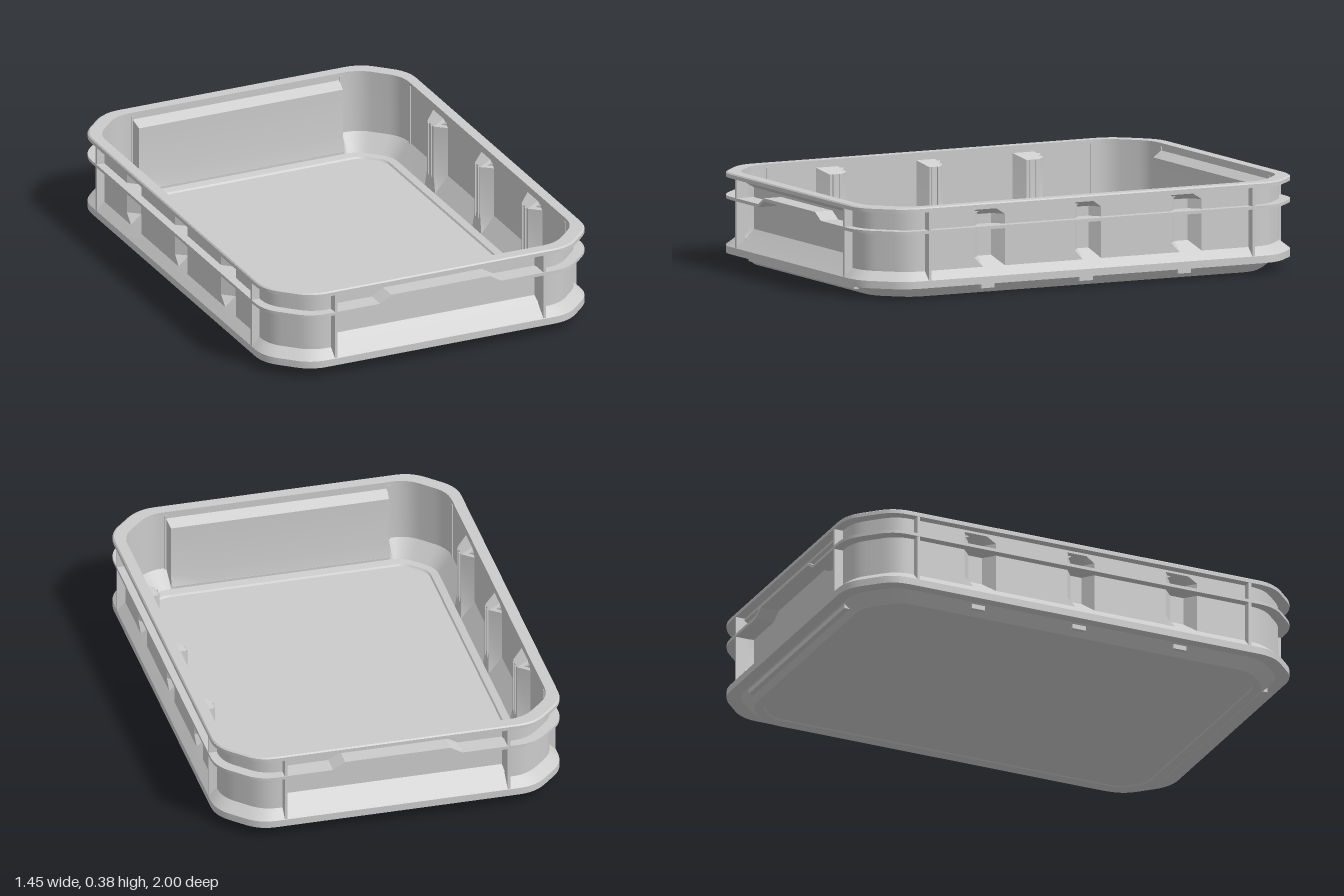
import * as THREE from 'three';
import { toCreasedNormals } from 'three/addons/utils/BufferGeometryUtils.js';

const material = new THREE.MeshStandardMaterial({ color: 0xcccccc, side: THREE.DoubleSide });

// Plan points along a side wall and an end wall; the true entries lie in a recess.
const SIDE = [[0.025, true], [0.06, false], [0.38, false], [0.42, true], [0.48, true], [0.52, false]];
const END = [[0.465, false], [0.455, true], [0.27, true], [0.22, true]];

// Closed horizontal loop: a rectangle with softened chamfered corners,
// whose recessed stretches are pulled in to recX and recZ.
function loop(y, hx, hz, cut, recX = hx, recZ = hz) {
  const q = SIDE.map(([z, rec]) => [rec ? recX : hx, z]);
  const e = Math.min(0.075, cut * 0.45), d = e * Math.SQRT1_2;
  const bend = (a, b, c) => {
    for (let i = 0; i <= 6; i++) {
      const t = i / 6, s = 1 - t;
      q.push([0, 1].map(k => s * s * a[k] + 2 * s * t * b[k] + t * t * c[k]));
    }
  };
  bend([hx, hz - cut - e], [hx, hz - cut], [hx - d, hz - cut + d]);
  bend([hx - cut + d, hz - d], [hx - cut, hz], [hx - cut - e, hz]);
  END.forEach(([x, rec]) => q.push([x, rec ? recZ : hz]));
  const flip = (sx, sz) => q.map(([x, z]) => [x * sx, z * sz]);
  return [...flip(1, 1), ...flip(-1, 1).reverse(), ...flip(-1, -1), ...flip(1, -1).reverse()]
    .map(([x, z]) => new THREE.Vector3(x, y, z));
}

// Skin a stack of loops; creases stay sharp.
function loft(name, loops) {
  const pos = [];
  const tri = (a, b, c) => {
    const area = b.clone().sub(a).cross(c.clone().sub(a)).length();
    if (area > 1e-9) [a, b, c].forEach(p => pos.push(p.x, p.y, p.z));
  };
  for (let i = 0; i < loops.length - 1; i++) {
    const lo = loops[i], hi = loops[i + 1], n = lo.length;
    for (let j = 0; j < n; j++) {
      const k = (j + 1) % n;
      tri(lo[j], hi[j], hi[k]);
      tri(lo[j], hi[k], lo[k]);
    }
  }
  const g = new THREE.BufferGeometry();
  g.setAttribute('position', new THREE.Float32BufferAttribute(pos, 3));
  const mesh = new THREE.Mesh(toCreasedNormals(g, 0.5), material);
  mesh.name = name;
  return mesh;
}

const edge = (y, inset = 0) => loop(y, 0.725 - inset, 1 - inset, 0.15);
const wall = y => loop(y, 0.69, 0.96, 0.14);
const wallRecessed = y => loop(y, 0.69, 0.96, 0.14, 0.645, 0.92);
const inner = y => loop(y, 0.677, 0.947, 0.137);
const innerRecessed = y => loop(y, 0.677, 0.947, 0.137, 0.631, 0.906);
const centre = y => edge(y).map(() => new THREE.Vector3(0, y, 0));

export function createModel() {
  const model = new THREE.Group();
  model.name = 'crate';

  // Tray shell: underside, outer wall, rim, inner wall, floor
  model.add(loft('trayShell', [
    centre(0.005),
    loop(0.005, 0.585, 0.855, 0.08),
    loop(0, 0.59, 0.86, 0.08),
    loop(0, 0.64, 0.9, 0.12),
    loop(0.045, 0.68, 0.95, 0.135),
    edge(0.045),
    edge(0.075),
    wall(0.11),
    wallRecessed(0.15),
    wallRecessed(0.32),
    wall(0.345),
    wall(0.355),
    edge(0.355),
    edge(0.37),
    edge(0.375, 0.005),
    inner(0.375),
    inner(0.345),
    innerRecessed(0.32),
    innerRecessed(0.11),
    loop(0.04, 0.62, 0.895, 0.11),
    loop(0.035, 0.59, 0.86, 0.08),
    loop(0.028, 0.585, 0.855, 0.08),
    centre(0.028),
  ]));

  // Band around the middle, stepping up over the grips at both ends
  const lift = pts => {
    pts.forEach(p => { if (Math.abs(p.z) > 0.9 && Math.abs(p.x) < 0.25) p.y += 0.03; });
    return pts;
  };
  model.add(loft('middleBand', [
    wallRecessed(0.267), edge(0.267), edge(0.28), wallRecessed(0.28),
  ].map(lift)));

  const box = (name, w, h, d, x, y, z) => {
    const mesh = new THREE.Mesh(new THREE.BoxGeometry(w, h, d), material);
    mesh.name = name;
    mesh.position.set(x, y, z);
    model.add(mesh);
  };

  for (const s of [-1, 1]) {
    // Upright ribs beside the corners
    for (const t of [-1, 1]) {
      box('endRib', 0.012, 0.29, 0.054, t * 0.465, 0.215, s * 0.971);
      box('sideRib', 0.05, 0.29, 0.012, s * 0.699, 0.215, t * 0.74);
    }
    // Stacking pads under the recesses
    box('endPad', 0.91, 0.03, 0.05, 0, 0.035, s * 0.92);
    for (const z of [-0.45, 0, 0.45]) {
      box('sidePad', 0.05, 0.03, 0.06, s * 0.65, 0.035, z);
      // Slim twin ribs on the inside of each pilaster
      for (const o of [-0.014, 0.014]) box('pilasterRib', 0.01, 0.23, 0.007, s * 0.63, 0.205, z + o);
    }
  }
  return model;
}
